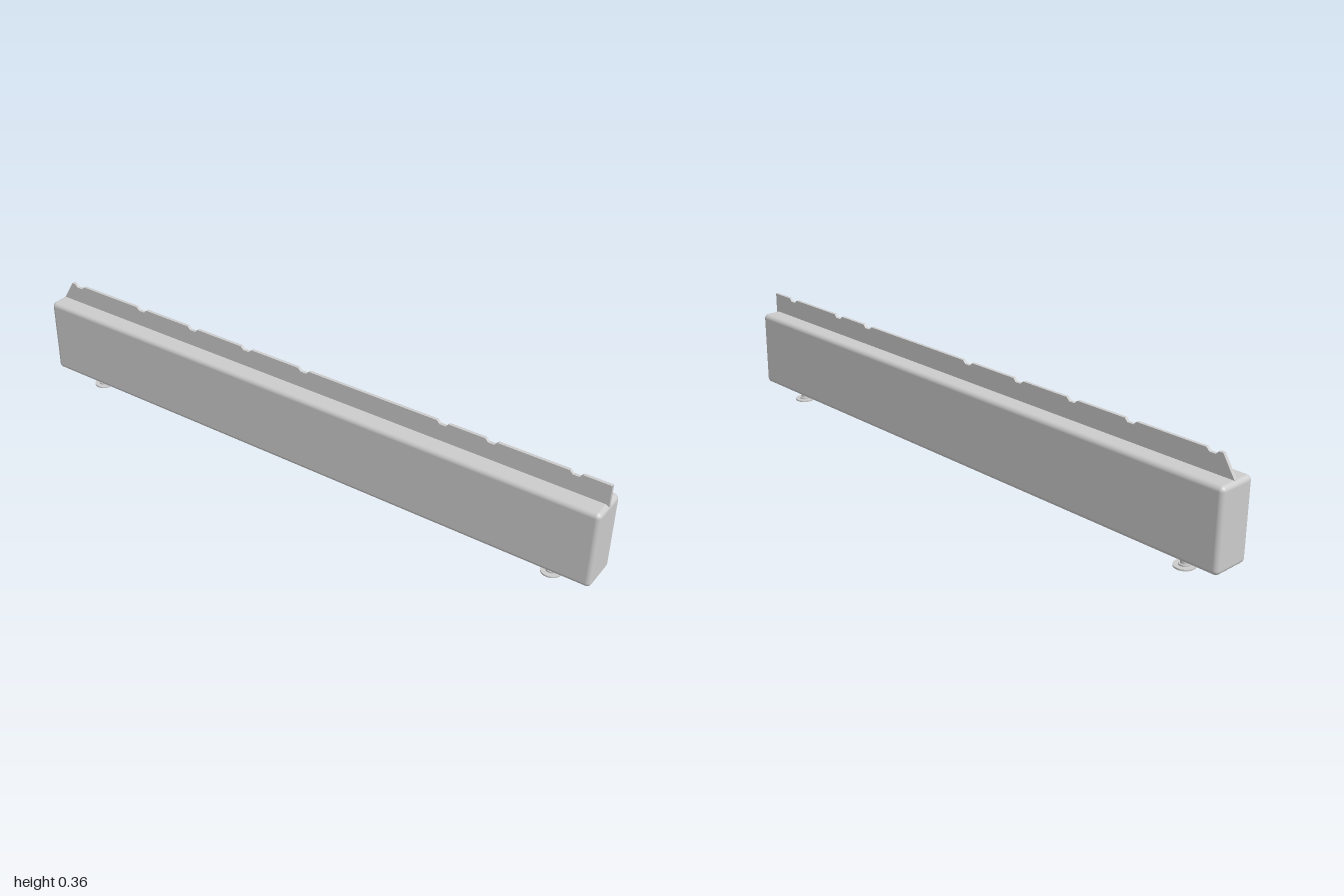
import * as THREE from 'three';
import { RoundedBoxGeometry } from 'three/addons/geometries/RoundedBoxGeometry.js';

const material = new THREE.MeshStandardMaterial({ color: 0xcccccc });

function part(name, geometry) {
  const mesh = new THREE.Mesh(geometry, material);
  mesh.name = name;
  return mesh;
}

// Thin upright blade with small trapezoid notches along its top edge
function bladeGeometry() {
  const base = 0.29, top = 0.363, thickness = 0.01;
  const notches = [-0.917, -0.644, -0.43, -0.217, 0, 0.483, 0.638, 0.895];
  const shape = new THREE.Shape();
  shape.moveTo(0.998, base);
  shape.lineTo(0.998, top);
  for (const z of [...notches].reverse()) {
    shape.lineTo(z + 0.02, top);
    shape.lineTo(z + 0.01, top - 0.01);
    shape.lineTo(z - 0.01, top - 0.01);
    shape.lineTo(z - 0.02, top);
  }
  // sloped rear end
  shape.lineTo(-0.95, top);
  shape.lineTo(-0.99, 0.3);
  shape.lineTo(-0.99, base);
  shape.closePath();
  const geometry = new THREE.ExtrudeGeometry(shape, { depth: thickness, bevelEnabled: false });
  geometry.translate(0, 0, -thickness / 2);
  geometry.rotateY(-Math.PI / 2);
  return geometry;
}

// Levelling foot: disc, collar and stem
function foot(z) {
  const group = new THREE.Group();
  group.name = 'foot';
  const levels = [
    ['footPlate', 0.032, 0, 0.005],
    ['footCollar', 0.017, 0.005, 0.01],
    ['footStem', 0.012, 0.01, 0.055],
  ];
  for (const [name, radius, y0, y1] of levels) {
    const mesh = part(name, new THREE.CylinderGeometry(radius, radius, y1 - y0, 32));
    mesh.position.y = (y0 + y1) / 2;
    group.add(mesh);
  }
  group.position.z = z;
  return group;
}

export function createModel() {
  const model = new THREE.Group();
  model.name = 'model';

  // Long body with softened edges
  const body = part('body', new RoundedBoxGeometry(0.126, 0.253, 2, 5, 0.015));
  body.position.y = 0.1725;
  model.add(body);

  model.add(part('blade', bladeGeometry()));

  for (const z of [0.86, -0.85]) model.add(foot(z));
  return model;
}
